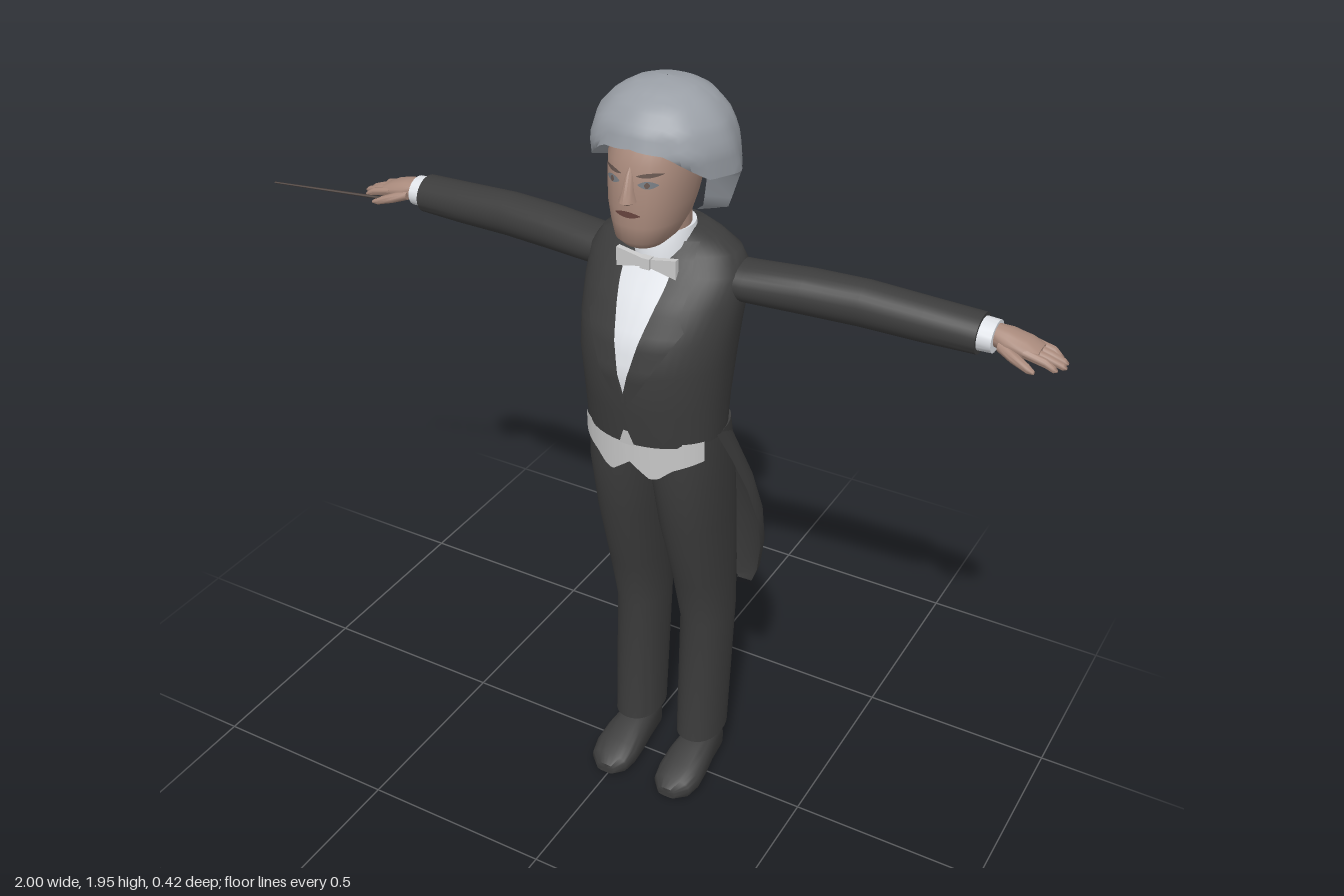
import * as THREE from 'three';
import { toCreasedNormals } from 'three/addons/utils/BufferGeometryUtils.js';

const mat = (name, color, side = THREE.FrontSide) => {
  const m = new THREE.MeshStandardMaterial({ color, side });
  m.name = name;
  return m;
};
const lerp = THREE.MathUtils.lerp;

// Linear lookup in rows sorted by their first value.
function sample(rows, t) {
  if (t <= rows[0][0]) return rows[0];
  for (let i = 1; i < rows.length; i++) {
    const a = rows[i - 1], b = rows[i];
    if (t <= b[0]) return a.map((v, k) => lerp(v, b[k], (t - a[0]) / (b[0] - a[0])));
  }
  return rows[rows.length - 1];
}

// Grid surface f(i, j) -> [x, y, z]; optionally wraps around in i.
function grid(nu, nv, f, closed, crease = 0.9) {
  const pos = [], idx = [], w = closed ? nu : nu + 1;
  for (let j = 0; j <= nv; j++) for (let i = 0; i < w; i++) pos.push(...f(i, j));
  for (let j = 0; j < nv; j++) for (let i = 0; i < nu; i++) {
    const a = j * w + i, b = j * w + (i + 1) % w;
    idx.push(a, b, b + w, a, b + w, a + w);
  }
  const g = new THREE.BufferGeometry();
  g.setAttribute('position', new THREE.Float32BufferAttribute(pos, 3));
  g.setIndex(idx);
  return toCreasedNormals(g, crease);
}

// Capped loft through rows [t, halfWidth, front, back, offset]; axis picks its direction.
const axes = {
  y: (x, t, d) => [x, t, d],
  x: (x, t, d) => [t, -x, d],
  z: (x, t, d) => [x, -d, t],
};
function loft(rows, { axis = 'y', ef = 2, eb = 2, n = 32 } = {}) {
  const all = [rows[0], ...rows, rows[rows.length - 1]];
  return grid(n, all.length - 1, (i, j) => {
    const [t, h, f, b, off = 0] = all[j];
    const k = j === 0 || j === all.length - 1 ? 0.001 : 1;
    const a = (i / n) * Math.PI * 2, s = Math.sin(a), c = Math.cos(a);
    const e = c >= 0 ? ef : eb, mid = (f + b) / 2;
    const p = (v) => Math.sign(v) * Math.pow(Math.abs(v), 2 / e);
    const x = off * (axis === 'x' ? -1 : 1) + h * k * p(s);
    return axes[axis](x, t, mid + (f - mid) * k * p(c));
  }, true);
}

// Thin overlay lying on the front of a loft; xy(u, v) with u in -1..1, v in 0..1.
function overlay(rows, e, off, xy, nu = 12, nv = 12) {
  return grid(nu, nv, (i, j) => {
    const [x, y] = xy((i / nu) * 2 - 1, j / nv);
    const [, h, f, b] = sample(rows, y), mid = (f + b) / 2;
    const q = Math.pow(Math.min(1, Math.abs(x / h)), e);
    return [x, y, mid + (f - mid) * Math.pow(1 - q, 1 / e) + off];
  }, false);
}

export function createModel() {
  const coat = mat('coat black', 0x3c3c3c, THREE.DoubleSide), shirt = mat('shirt white', 0xdfe2e7);
  const vest = mat('waistcoat white', 0xcbcbcb), hair = mat('hair grey', 0x9a9fa6);
  const skin = mat('skin', 0xa98a7c), lips = mat('lips', 0x6a4640), eyeGrey = mat('eye grey', 0x777c82);
  const brow = mat('brow brown', 0x685750), wood = mat('baton wood', 0x4a3f3a);

  const model = new THREE.Group();
  const body = new THREE.Group();
  body.name = 'conductor';
  body.position.x = 0.09;
  model.add(body);
  const add = (name, geo, m, parent = body) => {
    const mesh = new THREE.Mesh(geo, m);
    mesh.name = name;
    parent.add(mesh);
    return mesh;
  };

  // Jacket
  const torso = [
    [1.115, 0.168, 0.184, -0.088], [1.2, 0.172, 0.196, -0.096], [1.31, 0.182, 0.206, -0.108],
    [1.385, 0.188, 0.188, -0.113], [1.46, 0.194, 0.145, -0.116], [1.52, 0.194, 0.1, -0.11],
    [1.56, 0.168, 0.07, -0.1], [1.585, 0.12, 0.045, -0.092], [1.6, 0.075, 0.03, -0.085],
  ];
  add('jacket', loft(torso, { eb: 2.5, n: 48 }), coat);

  // Shirt front, waistcoat with two points, and its button tab
  add('shirtFront', overlay(torso, 2, 0.005, (u, v) => [u * 0.064 * Math.min(1, v * 1.12 + 0.001), lerp(1.26, 1.55, v)]), shirt);
  const waist = [[1.0, 0.176, 0.172, -0.09], [1.13, 0.176, 0.181, -0.09]];
  const hem = [[0, 1.06], [0.05, 1.02], [0.07, 1.025], [0.1, 1.05], [0.158, 1.07]];
  add('waistcoat', overlay(waist, 2, 0, (u, v) => {
    const x = u * 0.158;
    return [x, lerp(sample(hem, Math.abs(x))[1], 1.125, v)];
  }, 40, 3), vest);
  add('waistcoatTab', overlay(torso, 2, 0.005, (u, v) => [u * lerp(0.02, 0.006, v), lerp(1.115, 1.155, v)], 4, 3), vest);

  // Coat tails
  const tail = [
    [0.535, 0.12, -0.18, -0.205], [0.57, 0.18, -0.14, -0.205], [0.64, 0.21, -0.105, -0.205],
    [0.74, 0.23, -0.075, -0.195], [0.84, 0.232, -0.045, -0.18], [0.94, 0.215, -0.015, -0.155],
    [1.04, 0.186, 0.02, -0.12], [1.12, 0.168, 0.06, -0.09],
  ];
  add('coatTails', grid(28, tail.length - 1, (i, j) => {
    const [y, h, edge, back] = tail[j], a = Math.PI * (0.5 + i / 28);
    return [h * Math.sin(a), y, edge + (back - edge) * Math.pow(Math.abs(Math.cos(a)), 0.8)];
  }, false), coat);

  // Neck, collar and bow tie
  add('neck', loft([[1.5, 0.06, 0.07, -0.05], [1.66, 0.058, 0.085, -0.05]]), skin);
  add('collar', loft([[1.53, 0.074, 0.092, -0.075], [1.58, 0.07, 0.09, -0.07], [1.61, 0.064, 0.078, -0.066]]), shirt);
  const bow = new THREE.Shape();
  [[-0.075, -0.024], [0, -0.008], [0.075, -0.024], [0.075, 0.022], [0, 0.008], [-0.075, 0.022]]
    .forEach(([x, y], i) => (i ? bow.lineTo(x, y) : bow.moveTo(x, y)));
  add('bowTie', new THREE.ExtrudeGeometry(bow, { depth: 0.014, bevelEnabled: false }), vest).position.set(0, 1.542, 0.09);
  add('bowKnot', new THREE.BoxGeometry(0.024, 0.026, 0.024), vest).position.set(0, 1.542, 0.098);

  // Head and nose
  const head = [
    [1.603, 0.045, 0.158, 0.03], [1.622, 0.064, 0.178, 0], [1.66, 0.08, 0.181, -0.04],
    [1.7, 0.089, 0.184, -0.06], [1.75, 0.096, 0.18, -0.08], [1.8, 0.099, 0.174, -0.1],
    [1.86, 0.09, 0.145, -0.09], [1.9, 0.05, 0.09, -0.05],
  ];
  add('head', loft(head, { ef: 2.3 }), skin);
  add('nose', loft([
    [1.712, 0.006, 0.187, 0.15], [1.722, 0.021, 0.205, 0.15], [1.745, 0.014, 0.199, 0.15],
    [1.78, 0.009, 0.186, 0.15], [1.795, 0.004, 0.176, 0.15],
  ], { n: 16 }), skin);
  add('mouth', overlay(head, 2.3, 0.004, (u, v) => [u * 0.03, 1.692 + (v - 0.5) * 0.013 * (1.15 - u * u)], 10, 2), lips);

  // Hair: a full wig-like cap whose lower edge drops behind the temples
  const hairRows = [
    [1.61, 0.1, 0.06, -0.1], [1.635, 0.128, 0.09, -0.125], [1.69, 0.142, 0.12, -0.136],
    [1.755, 0.17, 0.15, -0.136], [1.82, 0.164, 0.178, -0.135], [1.87, 0.147, 0.165, -0.12],
    [1.91, 0.112, 0.13, -0.092], [1.935, 0.068, 0.08, -0.05], [1.945, 0.001, 0.015, 0.013],
  ];
  const edge = [[0, 1.835], [0.5, 1.825], [1.0, 1.765], [1.75, 1.755], [1.95, 1.64], [2.4, 1.615], [3.2, 1.615]];
  const nh = 56;
  add('hair', grid(nh, 15, (i, j) => {
    const a = (i / nh) * Math.PI * 2, phi = Math.min(a, Math.PI * 2 - a);
    const low = sample(edge, phi)[1];
    const t = Math.max(0, j - 1) / 14;
    const y = lerp(low, 1.945, Math.sin(t * Math.PI / 2));
    const [, h, f, b] = sample(hairRows, y), mid = (f + b) / 2;
    const k = (j === 0 ? 0.55 : 1) * (1 + 0.018 * Math.sin(9 * phi + 14 * y) * (1 - t));
    return [h * k * Math.sin(a), y, mid + (f - mid) * k * Math.cos(a)];
  }, true, 1.2), hair);

  // Everything that comes in pairs, built on the left and mirrored
  for (const side of [1, -1]) {
    const half = new THREE.Group();
    half.name = side > 0 ? 'leftSide' : 'rightSide';
    half.scale.x = side;
    body.add(half);
    const put = (name, geo, m) => add(name, geo, m, half);

    // Lapel
    const lapel = [[1.22, 0, 0.006], [1.3, 0.012, 0.055], [1.42, 0.038, 0.122], [1.44, 0.043, 0.105], [1.5, 0.057, 0.11], [1.585, 0.064, 0.095]];
    put('lapel', overlay(torso, 2, 0.009, (u, v) => {
      const y = lerp(1.22, 1.585, v), [, a, b] = sample(lapel, y);
      return [lerp(a, b, (u + 1) / 2), y];
    }, 6, 24), coat);

    // Eye, pupil and brow
    const plate = (cx, cy, w, h, off, tilt = 0) => overlay(head, 2.3, off, (u, v) =>
      [cx + u * w, cy + tilt * u + (v - 0.5) * h * (1.1 - u * u)], 8, 2);
    put('eye', plate(0.042, 1.762, 0.02, 0.015, 0.003), eyeGrey);
    put('pupil', plate(0.042, 1.762, 0.006, 0.012, 0.005), brow);
    put('brow', plate(0.044, 1.783, 0.026, 0.009, 0.004, 0.003), brow);

    // Sleeve and cuff
    put('sleeve', loft([
      [0.1, 0.045, 0.045, -0.07, 1.495], [0.2, 0.047, 0.04, -0.085, 1.493], [0.33, 0.052, 0.018, -0.098, 1.493],
      [0.46, 0.053, 0, -0.108, 1.491], [0.6, 0.05, -0.014, -0.12, 1.482], [0.72, 0.046, -0.027, -0.13, 1.476],
    ], { axis: 'x' }), coat);
    put('cuff', loft([[0.7, 0.038, -0.034, -0.123, 1.477], [0.752, 0.036, -0.037, -0.12, 1.477]], { axis: 'x' }), shirt);

    // Hand with fingers and thumb
    put('palm', loft([
      [0.74, 0.025, -0.055, -0.105, 1.482], [0.78, 0.026, -0.043, -0.12, 1.476],
      [0.82, 0.022, -0.043, -0.125, 1.468], [0.85, 0.013, -0.047, -0.121, 1.462],
    ], { axis: 'x', n: 20 }), skin);
    for (let i = 0; i < 4; i++) {
      const z = -0.053 - i * 0.0205, tip = [0.896, 0.91, 0.907, 0.89][i];
      put('finger', loft([
        [0.82, 0.011, z + 0.0105, z - 0.0105, 1.468], [0.87, 0.01, z + 0.01, z - 0.01, 1.457],
        [tip - 0.008, 0.008, z + 0.008, z - 0.008, 1.448], [tip, 0.003, z + 0.003, z - 0.003, 1.446],
      ], { axis: 'x', n: 10 }), skin);
    }
    put('thumb', loft([
      [0.765, 0.013, -0.04, -0.075, 1.47], [0.8, 0.013, -0.026, -0.055, 1.46],
      [0.84, 0.01, -0.018, -0.038, 1.448], [0.855, 0.004, -0.02, -0.03, 1.444],
    ], { axis: 'x', n: 12 }), skin);

    // Trouser leg, ankle and shoe
    put('trouserLeg', loft([
      [0.115, 0.06, 0.03, -0.137, 0.093], [0.5, 0.063, 0.02, -0.16, 0.093], [0.65, 0.069, 0.06, -0.156, 0.091],
      [0.84, 0.08, 0.115, -0.14, 0.086], [1.0, 0.088, 0.144, -0.115, 0.083], [1.12, 0.088, 0.145, -0.085, 0.08],
    ], { ef: 2.2, eb: 2.2 }), coat);
    put('ankle', loft([[0.08, 0.035, -0.02, -0.095, 0.093], [0.13, 0.035, -0.02, -0.095, 0.093]], { n: 16 }), coat);
    put('shoe', loft([
      [-0.112, 0.026, -0.015, -0.085, 0.095], [-0.1, 0.04, 0, -0.102, 0.095], [-0.03, 0.048, 0, -0.108, 0.095],
      [0.03, 0.057, 0, -0.093, 0.096], [0.08, 0.06, 0, -0.072, 0.097], [0.12, 0.052, -0.002, -0.055, 0.096],
      [0.146, 0.026, -0.008, -0.036, 0.094],
    ], { axis: 'z', ef: 3.5, eb: 2.5 }), coat);
  }

  // Baton in the right hand
  const a = new THREE.Vector3(-0.79, 1.453, -0.045), b = new THREE.Vector3(-1.09, 1.478, 0.065);
  const baton = add('baton', new THREE.CylinderGeometry(0.002, 0.004, a.distanceTo(b), 8), wood);
  baton.position.copy(a).lerp(b, 0.5);
  baton.quaternion.setFromUnitVectors(new THREE.Vector3(0, 1, 0), b.clone().sub(a).normalize());

  return model;
}
